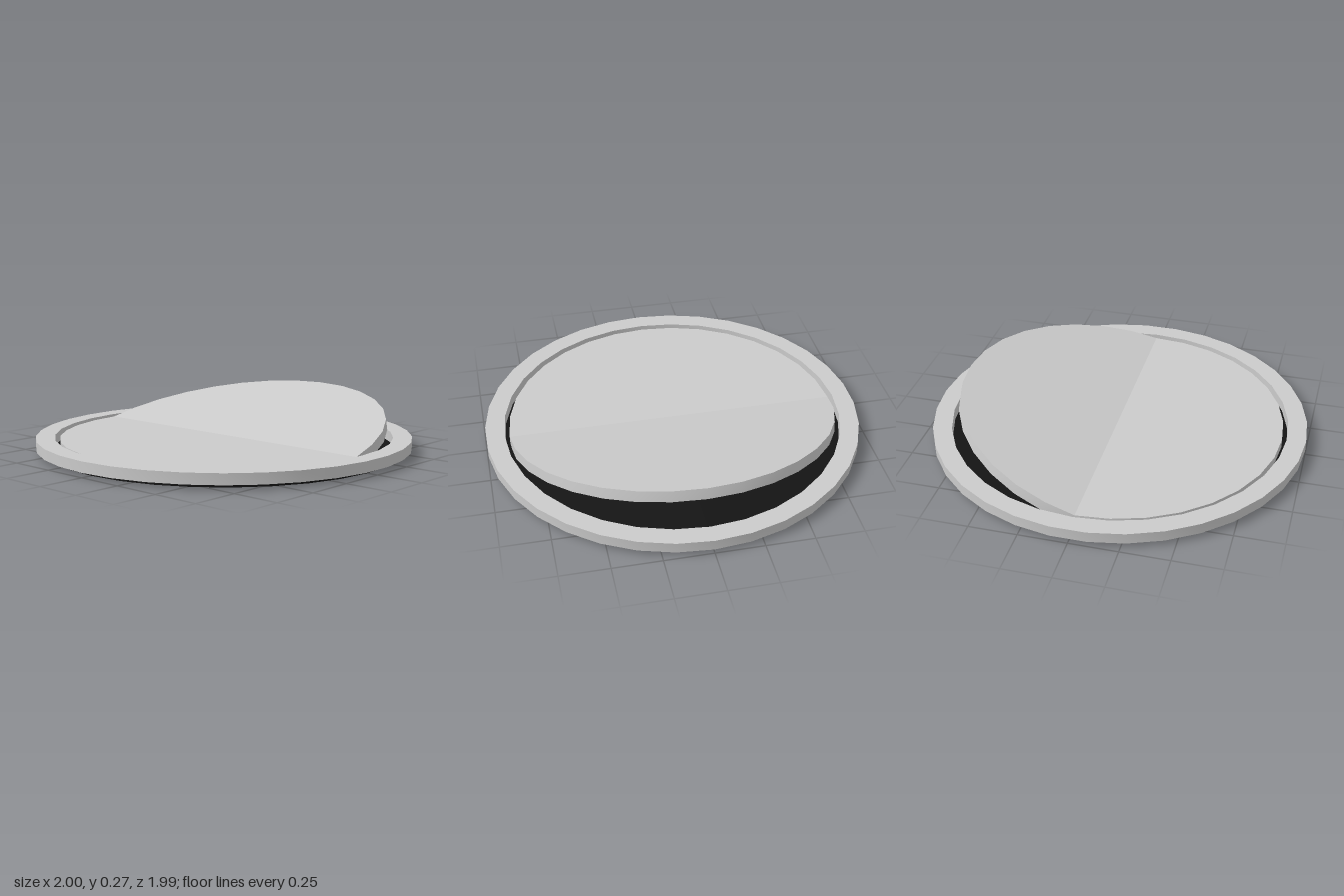
import * as THREE from 'three';
import { toCreasedNormals } from 'three/addons/utils/BufferGeometryUtils.js';

const CREASE = 0.21; // smooth around the rims, sharp at the fold and edges

function part(name, geometry, color) {
  const material = new THREE.MeshStandardMaterial({ color });
  const mesh = new THREE.Mesh(toCreasedNormals(geometry, CREASE), material);
  mesh.name = name;
  return mesh;
}

// Points of a regular polygon with a corner on +x
function polygon(radius, sides) {
  return Array.from({ length: sides }, (_, i) => {
    const a = (i / sides) * Math.PI * 2;
    return new THREE.Vector2(radius * Math.cos(a), radius * Math.sin(a));
  });
}

export function createModel() {
  const model = new THREE.Group();
  model.name = 'manholeCover';

  // Dark base closing the hole from below
  const base = new THREE.CylinderGeometry(0.94, 0.94, 0.024, 32);
  base.translate(0, 0.012, 0);
  model.add(part('base', base, 0x141414));

  // Flat frame ring
  const shape = new THREE.Shape(polygon(1, 34));
  shape.holes.push(new THREE.Path(polygon(0.9, 32)));
  const frame = new THREE.ExtrudeGeometry(shape, { depth: 0.056, bevelEnabled: false });
  frame.rotateX(-Math.PI / 2);
  frame.translate(0, 0.024, 0);
  model.add(part('frameRing', frame, 0xcccccc));

  // Lid, folded upward along its middle
  const thickness = 0.058;
  const lid = new THREE.CylinderGeometry(0.875, 0.875, thickness, 32);
  lid.translate(0, thickness / 2, 0);
  const fold = THREE.MathUtils.degToRad(13.25);
  const pos = lid.attributes.position;
  for (let i = 0; i < pos.count; i++) {
    const x = pos.getX(i), y = pos.getY(i);
    if (x < 1e-5) continue;
    pos.setX(i, x * Math.cos(fold) - y * Math.sin(fold));
    pos.setY(i, x * Math.sin(fold) + y * Math.cos(fold));
  }
  lid.translate(0, 0.013, 0);
  model.add(part('foldedLid', lid, 0xcccccc));

  return model;
}
